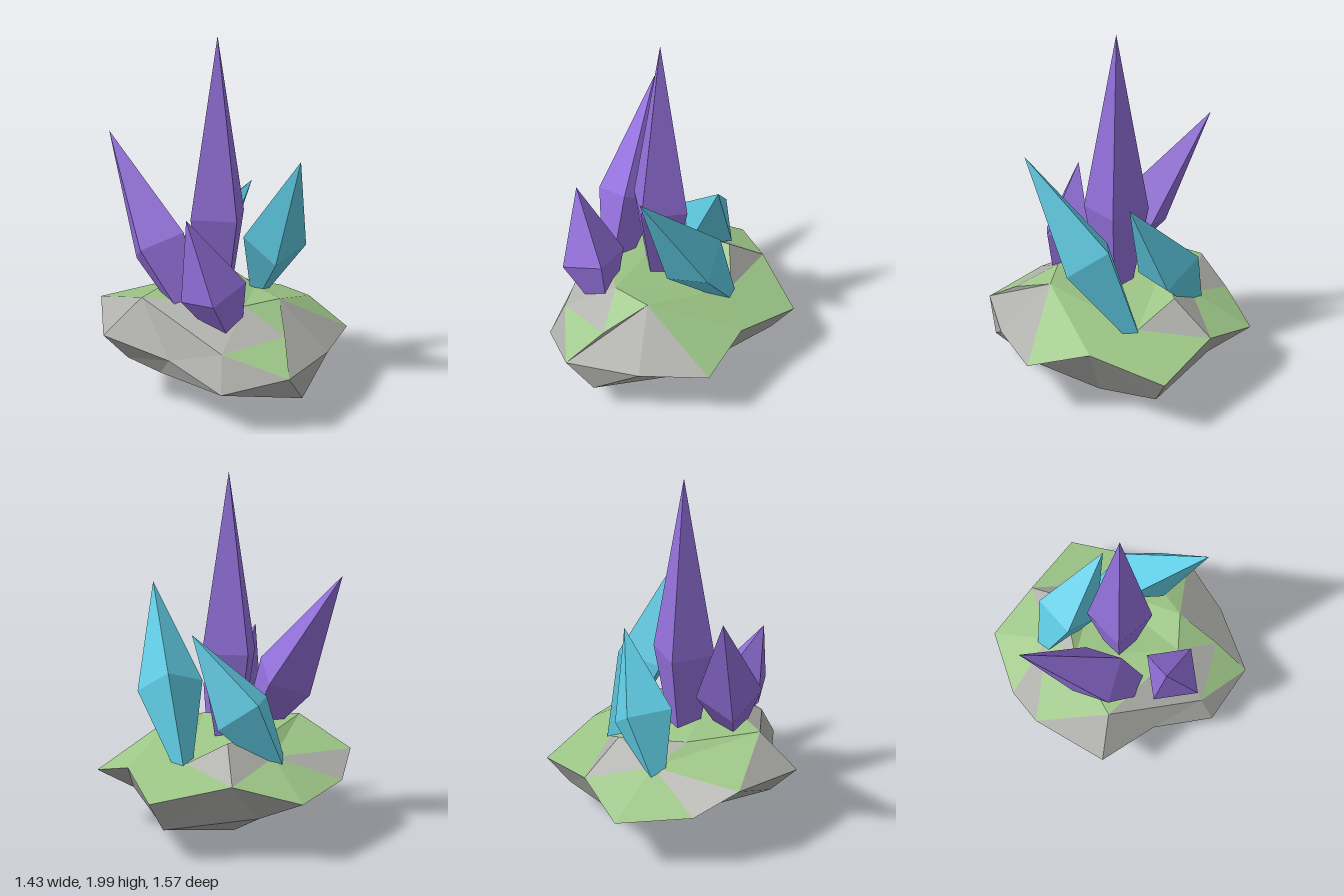
import * as THREE from 'three';

const flat = (name, color) => {
  const m = new THREE.MeshStandardMaterial({ color, flatShading: true });
  m.name = name;
  return m;
};

// Rings of the boulder, each going back -> left -> front -> right
const rim = [
  [0.08, 0.325, -0.785], [0.36, 0.41, -0.56], [0.715, 0.325, -0.33], [0.6, 0.41, 0.08],
  [0.605, 0.325, 0.42], [0.28, 0.325, 0.63], [-0.11, 0.325, 0.78], [-0.4, 0.235, 0.58],
  [-0.49, 0.32, 0.22], [-0.72, 0.42, -0.08], [-0.51, 0.475, -0.48], [-0.31, 0.36, -0.64],
];
const shoulder = [
  [0, 0.49, -0.44], [0.24, 0.58, -0.35], [0.38, 0.45, -0.16], [0.15, 0.58, 0.36],
  [0.01, 0.47, 0.59], [-0.34, 0.42, 0.5], [-0.49, 0.6, -0.05],
];
const crown = [[-0.13, 0.575, -0.26], [-0.08, 0.585, 0.35]];
const keel = [
  [0.18, 0.21, -0.55], [0.6, 0.155, -0.28], [0.42, 0.075, 0.05], [0.38, 0.19, 0.4],
  [0.03, 0.155, 0.72], [-0.47, 0.2, 0.1], [-0.57, 0.25, -0.08], [-0.13, 0.2, -0.43],
];
const base = [[0.19, 0.095, -0.34], [-0.15, 0.095, 0]];

// Stitch two rings. Each letter is one triangle: o steps along the outer ring,
// i along the inner one; a capital letter makes the triangle mossy.
function stitch(faces, outer, inner, steps, facesDown = false) {
  let o = 0, i = 0;
  const O = (k) => outer[k % outer.length];
  const I = (k) => inner[k % inner.length];
  for (const s of steps) {
    const tri = s.toLowerCase() === 'o'
      ? [O(o + 1), O(o++), I(i)]
      : [I(i), I(++i), O(o)];
    if (facesDown) tri.reverse();
    faces[s < 'a' ? 'moss' : 'stone'].push(...tri.flat());
  }
}

function trianglesMesh(name, positions, material) {
  const g = new THREE.BufferGeometry();
  g.setAttribute('position', new THREE.Float32BufferAttribute(positions, 3));
  g.computeVertexNormals();
  const mesh = new THREE.Mesh(g, material);
  mesh.name = name;
  return mesh;
}

// A stretched octahedron from its centre, its tip and one waist corner direction
function crystal(name, material, center, tip, side, radius = 0.183) {
  const c = new THREE.Vector3(...center);
  const axis = new THREE.Vector3(...tip).sub(c);
  const up = axis.clone().normalize();
  const u = new THREE.Vector3(...side);
  u.addScaledVector(up, -u.dot(up)).setLength(radius);
  const v = u.clone().cross(up).setLength(radius);
  const g = new THREE.OctahedronGeometry(1);
  g.applyMatrix4(new THREE.Matrix4().makeBasis(u, axis, v).setPosition(c));
  g.computeVertexNormals();
  const mesh = new THREE.Mesh(g, material);
  mesh.name = name;
  return mesh;
}

export function createModel() {
  const stone = flat('stone grey', 0xaeaeaa);
  const moss = flat('moss green', 0x9cc586);
  const violet = flat('crystal violet', 0x9370db);
  const cyan = flat('crystal cyan', 0x5fcbe3);

  const model = new THREE.Group();
  model.name = 'crystalCluster';

  // Boulder with mossy patches on top
  const faces = { stone: [], moss: [] };
  stitch(faces, rim, shoulder, 'OiiOOIOooiIooiooIoO');
  stitch(faces, shoulder, crown, 'oOIOOooIO');
  stitch(faces, rim, keel, 'oiooiiooiooioiooiooi', true);
  stitch(faces, keel, base, 'ooioooooio', true);
  const boulder = new THREE.Group();
  boulder.name = 'boulder';
  boulder.add(
    trianglesMesh('bareStone', faces.stone, stone),
    trianglesMesh('mossPatches', faces.moss, moss),
  );
  model.add(boulder);

  // Crystals: upright spire and four leaning ones
  model.add(
    crystal('centralSpire', violet, [-0.015, 1.005, 0], [-0.015, 2, 0], [1, 0, 0]),
    crystal('rightBackCrystal', violet, [-0.325, 0.85, -0.12], [-0.41, 1.445, -0.503], [-0.165, 0.02, 0.07]),
    crystal('rightFrontCrystal', violet, [-0.262, 0.693, 0.313], [-0.4, 1.105, 0.265], [0.14, 0.06, 0.105]),
    crystal('leftFrontCrystal', cyan, [0.297, 0.825, 0.125], [0.19, 1.375, 0.472], [0.09, 0.095, -0.125]),
    crystal('leftBackCrystal', cyan, [0.11, 0.72, -0.306], [0.3, 1.135, -0.103], [0.022, 0.07, -0.168]),
  );
  return model;
}
